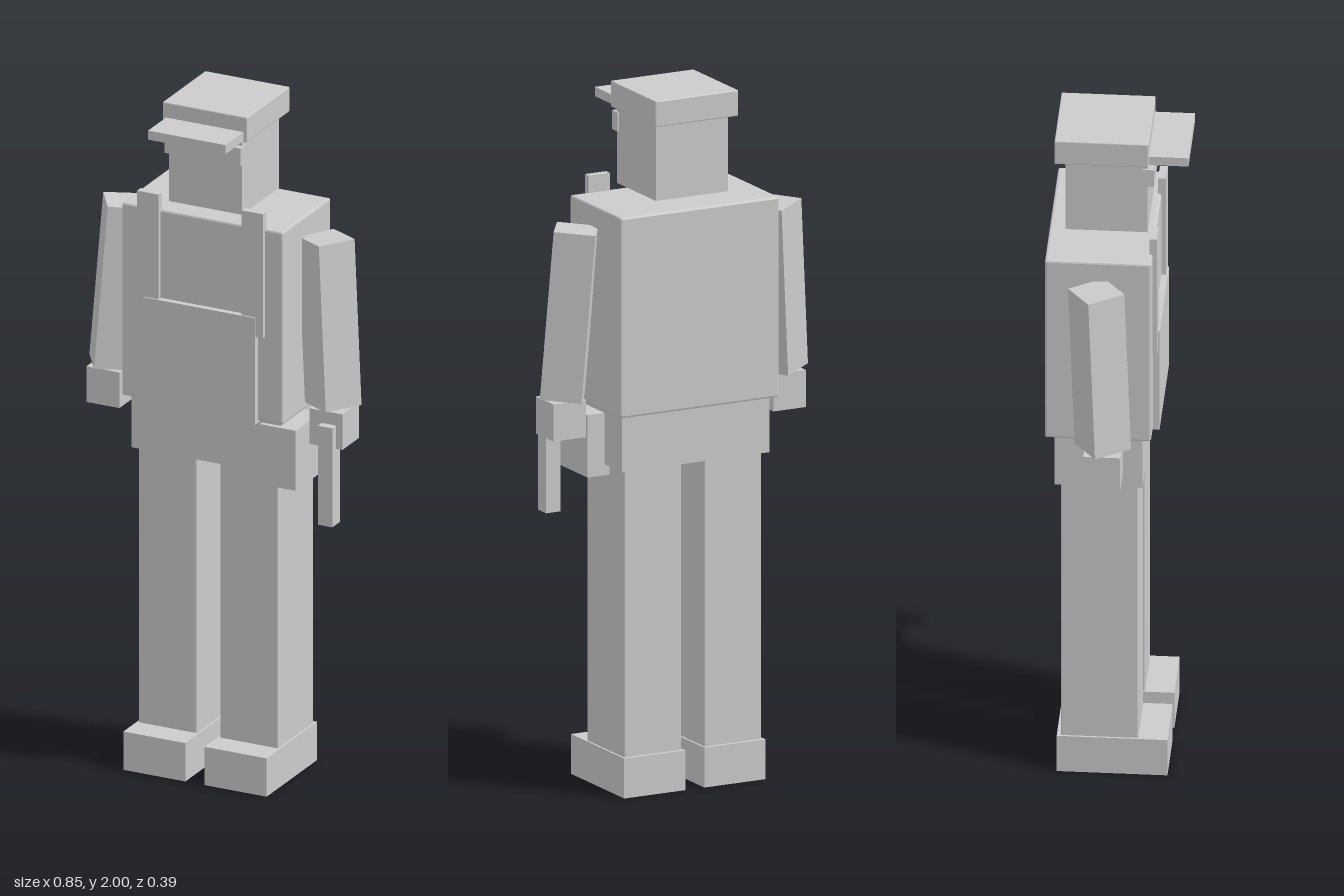
import * as THREE from 'three';
import { RoundedBoxGeometry } from 'three/addons/geometries/RoundedBoxGeometry.js';

const material = new THREE.MeshStandardMaterial({ color: 0xcccccc, flatShading: true });

export function createModel() {
  const model = new THREE.Group();
  model.name = 'blockFigure';

  // Block given by its extents on each axis; bevel trims the edges
  function block(name, [x0, x1], [y0, y1], [z0, z1], bevel = 0) {
    const size = [x1 - x0, y1 - y0, z1 - z0];
    const geometry = bevel
      ? new RoundedBoxGeometry(...size, 1, bevel)
      : new THREE.BoxGeometry(...size);
    const mesh = new THREE.Mesh(geometry, material);
    mesh.name = name;
    mesh.position.set((x0 + x1) / 2, (y0 + y1) / 2, (z0 + z1) / 2);
    model.add(mesh);
    return mesh;
  }

  // Same block on both sides; x extents are for the left (+x) side
  function pair(name, [x0, x1], y, z, bevel) {
    block('left' + name, [x0, x1], y, z, bevel);
    block('right' + name, [-x1, -x0], y, z, bevel);
  }

  // Legs and boots
  pair('Boot', [0.03, 0.224], [0, 0.115], [-0.165, 0.145]);
  pair('Leg', [0.036, 0.218], [0.11, 0.95], [-0.154, 0.063], 0.004);

  // Body
  block('hips', [-0.234, 0.234], [0.942, 1.106], [-0.17, 0.076]);
  block('torso', [-0.252, 0.252], [1.104, 1.682], [-0.196, 0.101], 0.006);

  // Overall bib, straps and hip pouch
  block('bib', [-0.174, 0.174], [1.097, 1.418], [0.09, 0.119]);
  pair('Strap', [0.13, 0.197], [1.36, 1.732], [0.092, 0.114]);
  block('pouch', [0.175, 0.287], [0.91, 1.09], [-0.067, 0.09]);

  // Arms turned outward and splayed, with hands
  for (const side of [1, -1]) {
    const arm = new THREE.Mesh(new THREE.BoxGeometry(0.117, 0.486, 0.115), material);
    arm.name = side > 0 ? 'leftArm' : 'rightArm';
    arm.position.set(side * 0.329, 1.383, -0.037);
    arm.rotation.set(0, side * -0.58, side * 0.08, 'YXZ');
    model.add(arm);
  }
  pair('Hand', [0.297, 0.4], [1.03, 1.137], [-0.077, 0.026]);
  block('baton', [0.336, 0.381], [0.803, 1.1], [0.002, 0.05]);

  // Head, eyewear and peaked cap
  block('head', [-0.114, 0.114], [1.704, 1.93], [-0.148, 0.081]);
  block('eyewear', [-0.119, 0.119], [1.855, 1.91], [0.068, 0.1]);
  block('cap', [-0.132, 0.132], [1.925, 2], [-0.178, 0.085], 0.003);
  block('capBrim', [-0.121, 0.121], [1.928, 1.955], [0.075, 0.196]);

  return model;
}
